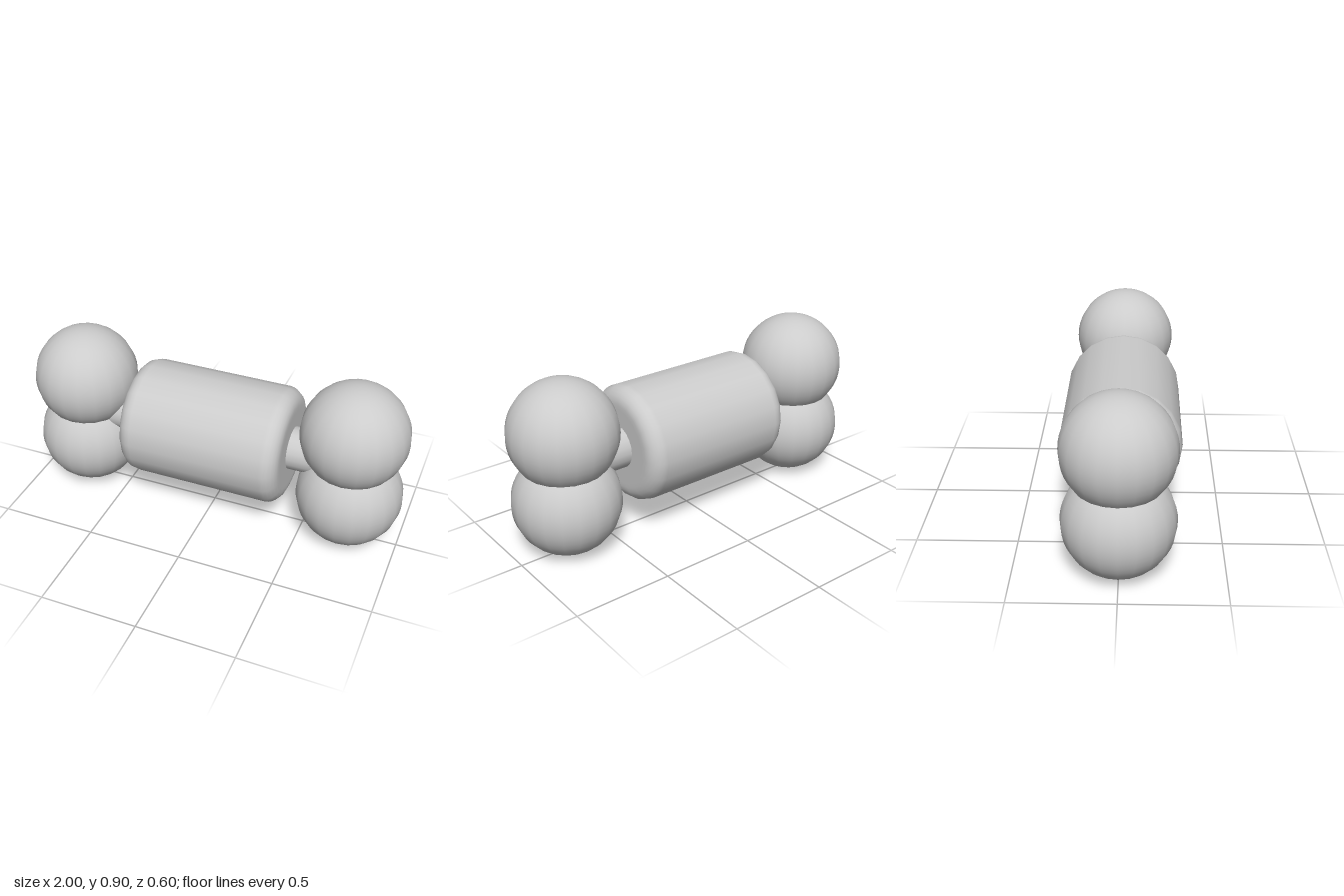
import * as THREE from 'three';

const SIDES = 20;
const AXIS_Y = 0.466;

export function createModel() {
  const model = new THREE.Group();
  model.name = 'bone';
  const material = new THREE.MeshStandardMaterial({ color: 0xcccccc });

  const add = (name, geometry, x, y) => {
    const mesh = new THREE.Mesh(geometry, material);
    mesh.name = name;
    mesh.position.set(x, y, 0);
    model.add(mesh);
    return mesh;
  };

  // Thick middle with rounded rims, turned about the x axis
  const half = 0.425, radius = 0.3, bevel = 0.08, steps = 6;
  const flat = radius - bevel;
  const profile = [new THREE.Vector2(0, -half), new THREE.Vector2(flat * 0.9, -half)];
  for (const end of [-1, 1]) {
    for (let i = 0; i <= steps; i++) {
      const a = (end < 0 ? i - steps : i) / steps * Math.PI / 2;
      profile.push(new THREE.Vector2(
        flat + bevel * Math.cos(a),
        end * (half - bevel) + bevel * Math.sin(a)
      ));
    }
  }
  profile.push(new THREE.Vector2(flat * 0.9, half), new THREE.Vector2(0, half));
  const body = new THREE.LatheGeometry(profile, SIDES).rotateZ(Math.PI / 2);
  add('body', body, -0.006, AXIS_Y);

  // Thin shaft joining the knobs through the middle
  const shaft = new THREE.CylinderGeometry(0.11, 0.11, 1.3, SIDES).rotateZ(Math.PI / 2);
  add('shaft', shaft, 0, AXIS_Y);

  // Two overlapping knobs at each end
  const knob = new THREE.SphereGeometry(0.27, SIDES, 24);
  for (const [side, x] of [['left', 0.73], ['right', -0.73]]) {
    add(side + 'UpperKnob', knob, x, 0.63);
    add(side + 'LowerKnob', knob, x, 0.272);
  }
  return model;
}
